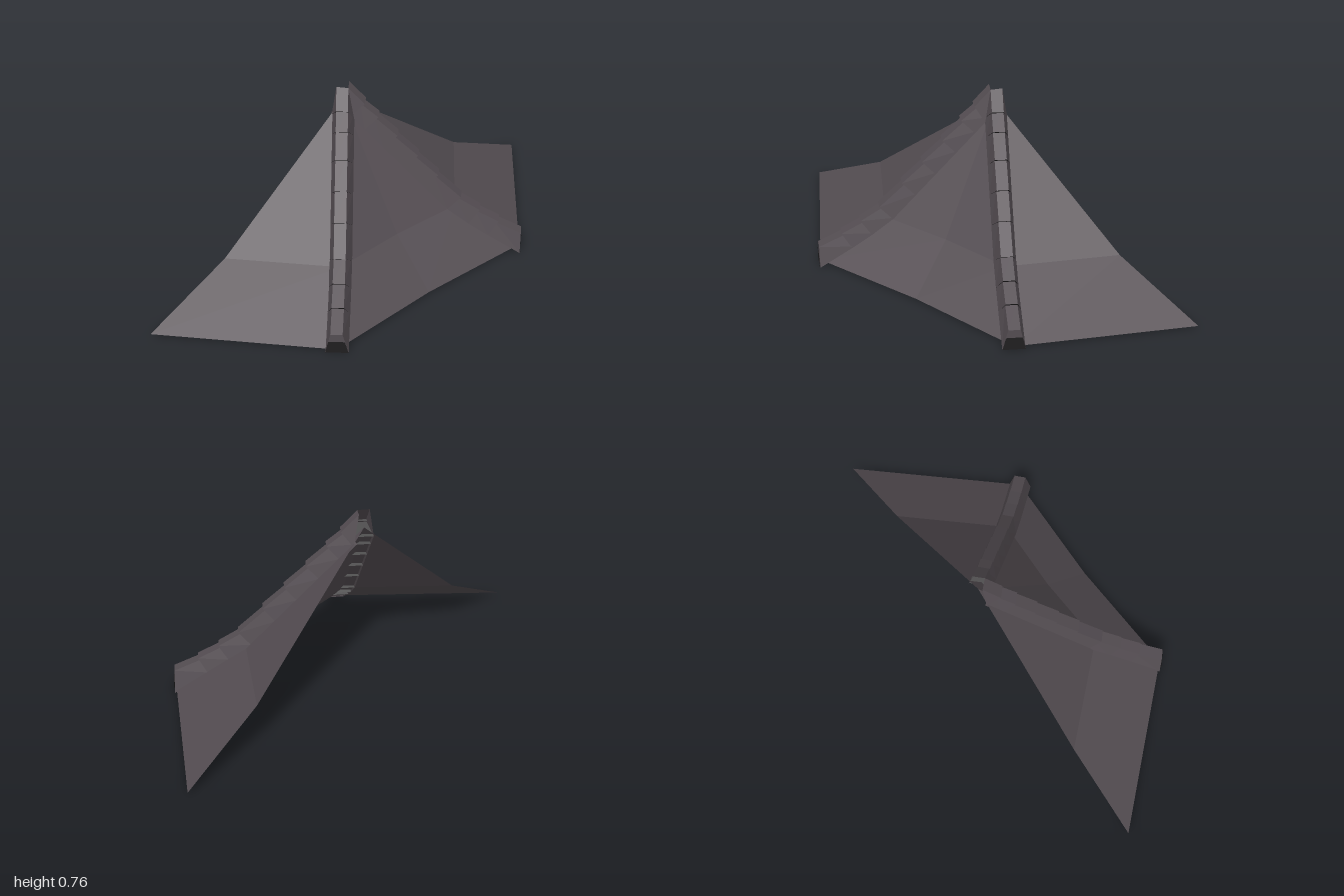
import * as THREE from 'three';

const V = (x, y, z) => new THREE.Vector3(x, y, z);
const BACK = -0.29;

// Hip line running from the eave corner up to the peak
const CORNER = V(0.5, 0.01, 0.26), BEND = V(0.31, 0.195, 0.055), PEAK = V(0, 0.695, BACK);

function hipAt(z) {
  const [a, b] = z > BEND.z ? [CORNER, BEND] : [BEND, PEAK];
  return a.clone().lerp(b, (a.z - z) / (a.z - b.z));
}

// Flat faces from quads; side -1 mirrors them across x
function quadMesh(name, quads, material, side = 1) {
  const pos = [];
  for (const q of quads) {
    const p = side < 0 ? [...q].reverse() : q;
    for (const i of [0, 1, 2, 0, 2, 3]) pos.push(p[i].x * side, p[i].y, p[i].z);
  }
  const geo = new THREE.BufferGeometry();
  geo.setAttribute('position', new THREE.Float32BufferAttribute(pos, 3));
  geo.computeVertexNormals();
  const mesh = new THREE.Mesh(geo, material);
  mesh.name = name;
  return mesh;
}

export function createModel() {
  const model = new THREE.Group();
  model.name = 'hippedRoof';

  const slate = new THREE.MeshStandardMaterial({ color: 0x544d52, side: THREE.DoubleSide, flatShading: true });
  slate.name = 'slate';
  const dark = new THREE.MeshStandardMaterial({ color: 0x201f20, side: THREE.DoubleSide, flatShading: true });
  dark.name = 'darkTileEnd';

  // Roof panels: half of the front and one side, mirrored
  const frontLow = V(0, 0.01, 0.24), frontMid = V(0, 0.195, 0.042);
  const sideLow = V(1, 0.01, BACK), sideMid = V(0.625, 0.195, BACK);
  for (const s of [1, -1]) {
    const tag = s > 0 ? 'left' : 'right';
    model.add(quadMesh(tag + 'FrontPanel', [
      [frontLow, CORNER, BEND, frontMid],
      [frontMid, BEND, PEAK, PEAK],
    ], slate, s));
    model.add(quadMesh(tag + 'SidePanel', [
      [CORNER, sideLow, sideMid, BEND],
      [BEND, sideMid, PEAK, PEAK],
    ], slate, s));
  }

  // Overlapping ridge tiles: heights along the hip where each one starts
  const starts = [0.263, 0.168, 0.106, 0.041, -0.031, -0.094, -0.157, -0.215, -0.256, BACK];
  const lat = V(0.73, 0, -0.68);
  const section = [[-0.046, -0.012], [-0.024, 0.061], [0.024, 0.061], [0.046, -0.012]];

  for (const s of [1, -1]) {
    const hip = new THREE.Group();
    hip.name = s > 0 ? 'leftRidgeTiles' : 'rightRidgeTiles';
    for (let i = 0; i < starts.length - 1; i++) {
      const first = i === 0, last = i === starts.length - 2;
      const a = hipAt(starts[i]), b = hipAt(starts[i + 1]);
      const up = b.clone().sub(a).normalize();
      const n = lat.clone().cross(up).normalize();
      const ring = (base, normal, k) => section.map(([l, h]) =>
        base.clone().addScaledVector(lat, l).addScaledVector(normal, h > 0 ? h * k : h));

      // The lowest tile is cut plumb, the others square to the slope
      const low = first ? ring(a, V(0, 1, 0), 1.35) : ring(a, n, 1);
      if (first) for (const p of low) p.y = Math.max(p.y, 0);
      const high = ring(last ? b : b.clone().addScaledVector(up, 0.012), n, last ? 1 : 0.8);

      // The top tile is mitred against its twin and trimmed flush at the back
      if (last) for (const p of high) {
        p.addScaledVector(up, Math.min(p.x / -up.x, (p.z - BACK) / -up.z));
      }

      const quads = [0, 1, 2].map(j => [low[j], low[j + 1], high[j + 1], high[j]]);
      hip.add(quadMesh('ridgeTile', quads, slate, s));

      const cap = [low[0], low[3], low[2], low[1]];
      hip.add(quadMesh('tileEnd', [cap], first ? slate : dark, s));
      if (first) {
        // Dark mouth on the lower part of the eave end
        const plug = [low[0], low[3], low[3].clone().lerp(low[2], 0.62), low[0].clone().lerp(low[1], 0.62)]
          .map(p => p.clone().add(V(0.002, 0, 0.002)));
        hip.add(quadMesh('tileMouth', [plug], dark, s));
      }
    }
    model.add(hip);
  }
  return model;
}
